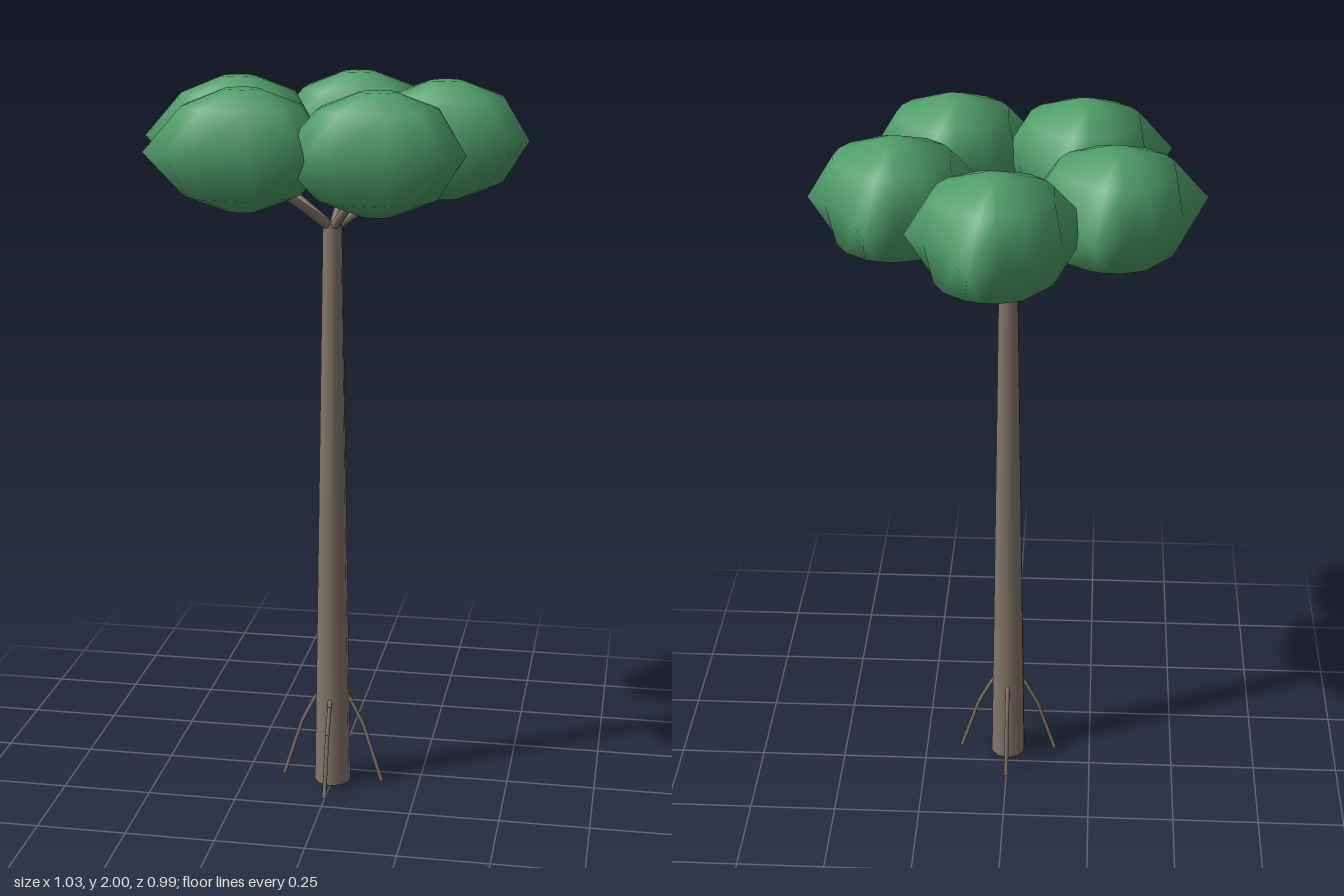
import * as THREE from 'three';

const bark = new THREE.MeshStandardMaterial({ color: 0x85786a });
const leaf = new THREE.MeshStandardMaterial({ color: 0x4f9e68 });

// Tapered round limb between two points
function limb(name, from, to, r0, r1, sides) {
  const dir = to.clone().sub(from);
  const mesh = new THREE.Mesh(new THREE.CylinderGeometry(r1, r0, dir.length(), sides), bark);
  mesh.position.copy(from).addScaledVector(dir, 0.5);
  mesh.quaternion.setFromUnitVectors(new THREE.Vector3(0, 1, 0), dir.normalize());
  mesh.name = name;
  return mesh;
}

// Leaf clump: irregular waist outline closing to rounded rings above and below
function clumpGeometry() {
  const corners = [[0.05, -0.264], [-0.1, -0.18], [-0.24, 0.086], [-0.1, 0.176],
    [0.195, 0.161], [0.225, 0.001], [0.12, -0.1]];
  const waist = [];
  corners.forEach(([x, z], i) => {
    const [nx, nz] = corners[(i + 1) % corners.length];
    waist.push([x, z], [(x + nx) / 2, (z + nz) / 2]);
  });
  const n = waist.length;
  // height, ring radius (null = waist outline)
  const rings = [[-0.155, 0.045], [-0.11, 0.155], [0, null], [0.113, 0.155], [0.155, 0.045]];
  const pos = [], index = [];
  for (const [y, r] of rings) {
    for (const [x, z] of waist) {
      const k = r === null ? 1 : r / Math.hypot(x, z);
      pos.push(x * k, y, z * k);
    }
  }
  for (let j = 0; j < rings.length - 1; j++) {
    for (let i = 0; i < n; i++) {
      const a = j * n + i, b = j * n + (i + 1) % n;
      index.push(a, b, b + n, a, b + n, a + n);
    }
  }
  // Caps
  const low = pos.length / 3, high = low + 1, last = (rings.length - 1) * n;
  pos.push(0, -0.156, 0, 0, 0.156, 0);
  for (let i = 0; i < n; i++) {
    const k = (i + 1) % n;
    index.push(low, k, i, high, last + i, last + k);
  }
  const geo = new THREE.BufferGeometry();
  geo.setAttribute('position', new THREE.Float32BufferAttribute(pos, 3));
  geo.setIndex(index);
  geo.computeVertexNormals();
  return geo;
}

export function createModel() {
  const tree = new THREE.Group();
  tree.name = 'tree';
  const V = (x, y, z) => new THREE.Vector3(x, y, z);
  const axisZ = 0.065;

  // Trunk
  tree.add(limb('trunk', V(0, 0, axisZ), V(0, 1.625, axisZ), 0.052, 0.026, 10));

  // Four thin bent roots
  for (let i = 0; i < 4; i++) {
    const root = new THREE.Group();
    root.name = 'root';
    const p = [V(0.038, 0.27, 0), V(0.055, 0.245, 0), V(0.09, 0.175, 0), V(0.143, 0.005, 0)];
    for (let k = 0; k < 3; k++) root.add(limb('rootSegment', p[k], p[k + 1], 0.006, 0.006, 6));
    root.rotation.y = i * Math.PI / 2;
    root.position.z = axisZ;
    tree.add(root);
  }

  // Five branches, each carrying a leaf clump
  const geo = clumpGeometry();
  for (let i = 0; i < 5; i++) {
    const a = -Math.PI / 2 + 0.07 + i * Math.PI * 2 / 5;
    const x = Math.cos(a) * 0.3, z = axisZ + Math.sin(a) * 0.3;
    tree.add(limb('branch', V(0, 1.61, axisZ), V(x, 1.81, z), 0.013, 0.009, 8));
    const clump = new THREE.Mesh(geo, leaf);
    clump.name = 'leafClump';
    clump.position.set(x, 1.844, z);
    tree.add(clump);
  }
  return tree;
}
